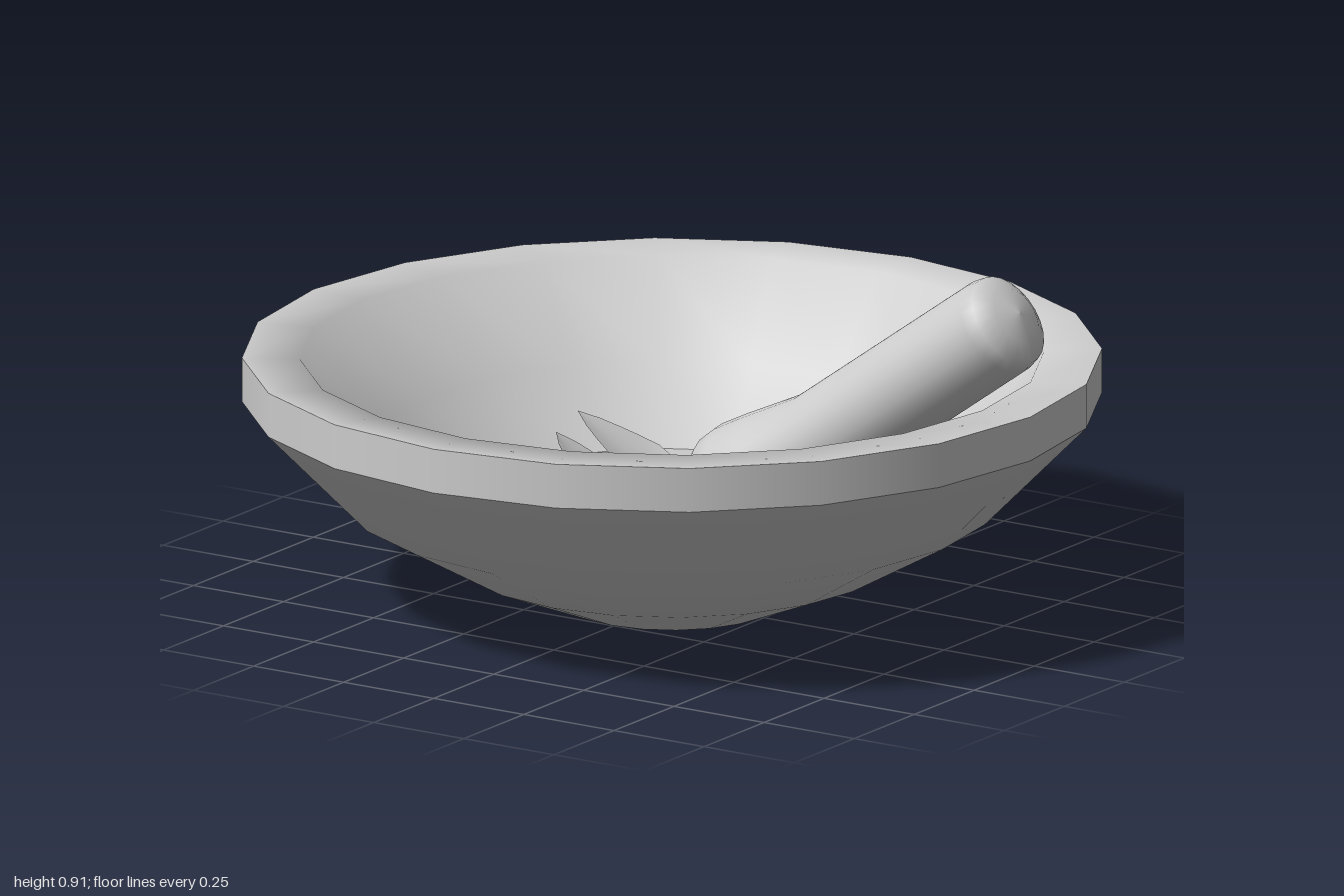
import * as THREE from 'three';

const grey = new THREE.MeshStandardMaterial({ color: 0xcccccc, side: THREE.DoubleSide });
const SIDES = 20;

const lathe = (name, pts, sides = SIDES) => {
  const mesh = new THREE.Mesh(
    new THREE.LatheGeometry(pts.map(([r, y]) => new THREE.Vector2(r, y)), sides), grey);
  mesh.name = name;
  return mesh;
};

// Pointed, slightly cupped leaf rising from a base point to a raised tip
function leaf(bx, bz, tx, tz, tipY, halfWidth, roll = 0) {
  const rows = 6, cols = 4, baseY = 0.19;
  const len = Math.hypot(tx - bx, tz - bz);
  const sx = -(tz - bz) / len, sz = (tx - bx) / len; // sideways direction
  const geo = new THREE.PlaneGeometry(1, 1, cols, rows);
  const pos = geo.attributes.position;
  for (let i = 0; i < pos.count; i++) {
    const u = pos.getX(i) * 2, t = pos.getY(i) + 0.5;
    const w = halfWidth * (t < 0.35 ? 0.8 + 0.57 * t : Math.pow((1 - t) / 0.65, 0.75));
    const y = baseY + (tipY - baseY) * t + 0.03 * u * u * (1 - t) + roll * u * (1 - t);
    pos.setXYZ(i, bx + (tx - bx) * t + sx * u * w, y, bz + (tz - bz) * t + sz * u * w);
  }
  geo.computeVertexNormals();
  const mesh = new THREE.Mesh(geo, grey);
  mesh.name = 'leaf';
  return mesh;
}

export function createModel() {
  const model = new THREE.Group();
  model.name = 'mortarAndPestle';

  // Bowl: separate lathes keep the base and rim edges sharp
  const bowl = new THREE.Group();
  bowl.name = 'bowl';
  bowl.position.x = -0.005;
  bowl.add(
    lathe('bowlBase', [[0, 0], [0.25, 0]]),
    lathe('bowlOutside', [[0.25, 0], [0.5, 0.1], [0.75, 0.24], [0.994, 0.49]]),
    lathe('bowlRim', [[0.994, 0.49], [0.994, 0.595]]),
    lathe('bowlInside', [[0.994, 0.595], [0.86, 0.59], [0.69, 0.38], [0.49, 0.23]]),
    lathe('bowlFloor', [[0.49, 0.23], [0, 0.23]]),
  );
  model.add(bowl);

  // Pestle: profile along its axis, leaning towards +x
  const pestle = lathe('pestle', [
    [0, -0.89], [0.07, -0.88], [0.135, -0.84], [0.16, -0.79], [0.163, -0.74], [0.15, -0.66],
    [0.12, -0.505], [0.12, -0.2], [0.12, 0.086], [0.113, 0.12], [0.07, 0.148], [0, 0.16],
  ], 24);
  pestle.position.set(0.83, 0.7475, 0);
  pestle.rotation.z = -Math.PI / 2 + 0.623;
  model.add(pestle);

  // Leaves: base x, base z, tip x, tip z, tip height, half width, roll
  const leaves = new THREE.Group();
  leaves.name = 'leaves';
  for (const l of [
    [-0.09, -0.33, -0.05, -0.57, 0.34, 0.1],
    [0.08, -0.31, 0.18, -0.51, 0.34, 0.1],
    [-0.16, -0.23, -0.4, -0.2, 0.35, 0.1],
    [-0.15, -0.02, -0.34, -0.02, 0.35, 0.1, -0.03],
    [0.01, -0.06, 0.04, 0.16, 0.29, 0.1],
    [-0.36, 0.13, -0.43, 0.33, 0.28, 0.11],
    [-0.19, 0.31, -0.18, 0.52, 0.34, 0.1],
    [-0.04, 0.35, 0.2, 0.35, 0.34, 0.1],
  ]) leaves.add(leaf(...l));
  model.add(leaves);

  return model;
}
